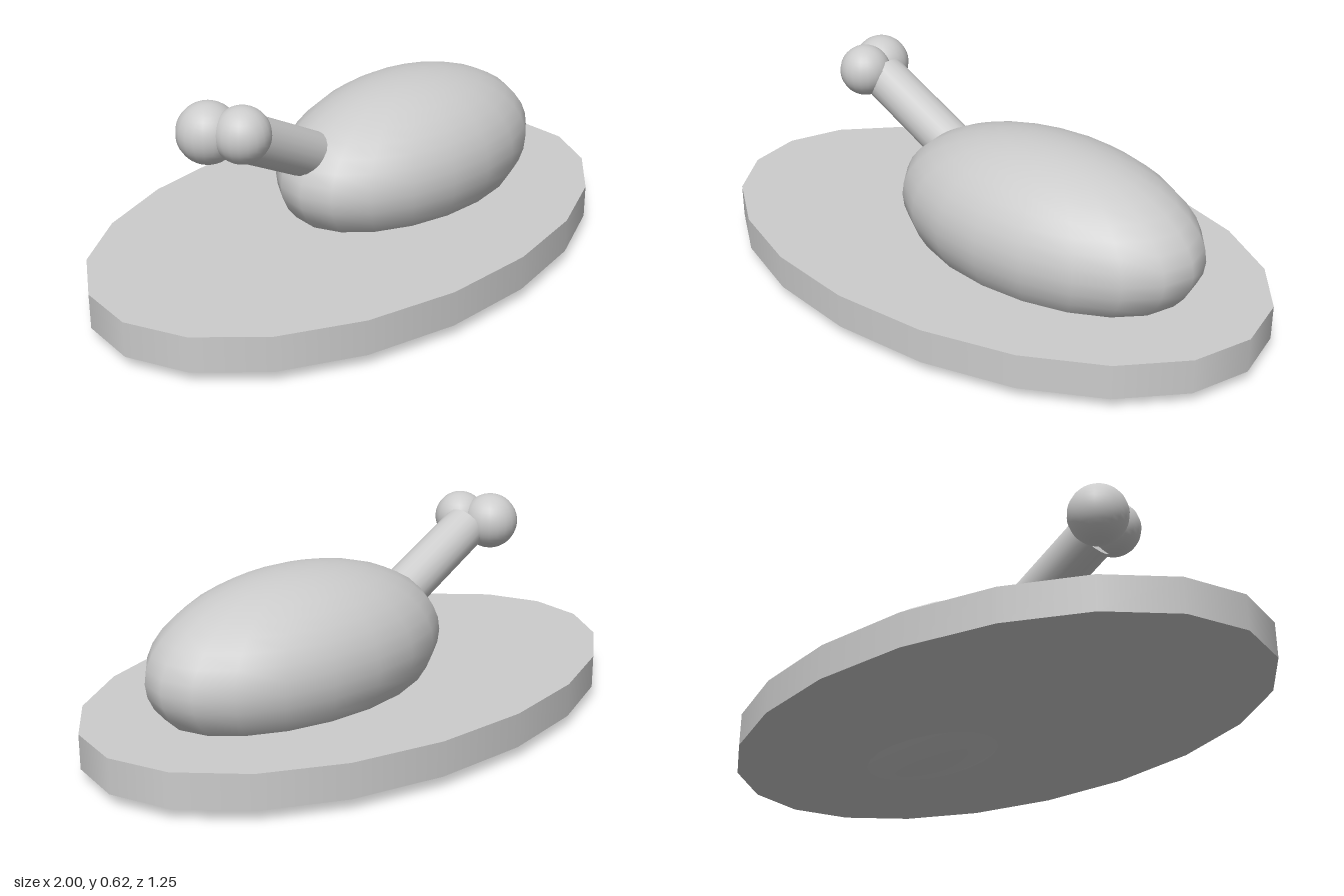
import * as THREE from 'three';

export function createModel() {
  const group = new THREE.Group();
  const material = new THREE.MeshStandardMaterial({ color: 0xcccccc });

  function add(name, geometry, x, y, z) {
    const mesh = new THREE.Mesh(geometry, material);
    mesh.name = name;
    mesh.position.set(x, y, z);
    group.add(mesh);
    return mesh;
  }

  // Oval platter
  const platter = add('platter', new THREE.CylinderGeometry(1, 1, 0.105, 20), 0, 0.086, 0);
  platter.scale.z = 0.624;

  // Plump meat, sunk through the platter
  const meat = add('meat', new THREE.SphereGeometry(1, 20, 20), 0.26, 0.26, 0.008);
  meat.scale.set(0.545, 0.26, 0.323);

  // Bone shaft slanting up out of the meat
  const start = new THREE.Vector3(-0.1, 0.319, -0.028);
  const end = new THREE.Vector3(-0.5, 0.513, -0.028);
  const direction = end.clone().sub(start);
  const middle = start.clone().lerp(end, 0.5);
  const bone = add('bone', new THREE.CylinderGeometry(0.074, 0.074, direction.length(), 20),
    middle.x, middle.y, middle.z);
  bone.quaternion.setFromUnitVectors(new THREE.Vector3(0, 1, 0), direction.normalize());

  // Two knobs at the end of the bone
  add('backKnob', new THREE.SphereGeometry(0.092, 20, 20), -0.573, 0.533, -0.081);
  add('frontKnob', new THREE.SphereGeometry(0.084, 20, 20), -0.54, 0.54, 0.021);

  return group;
}
